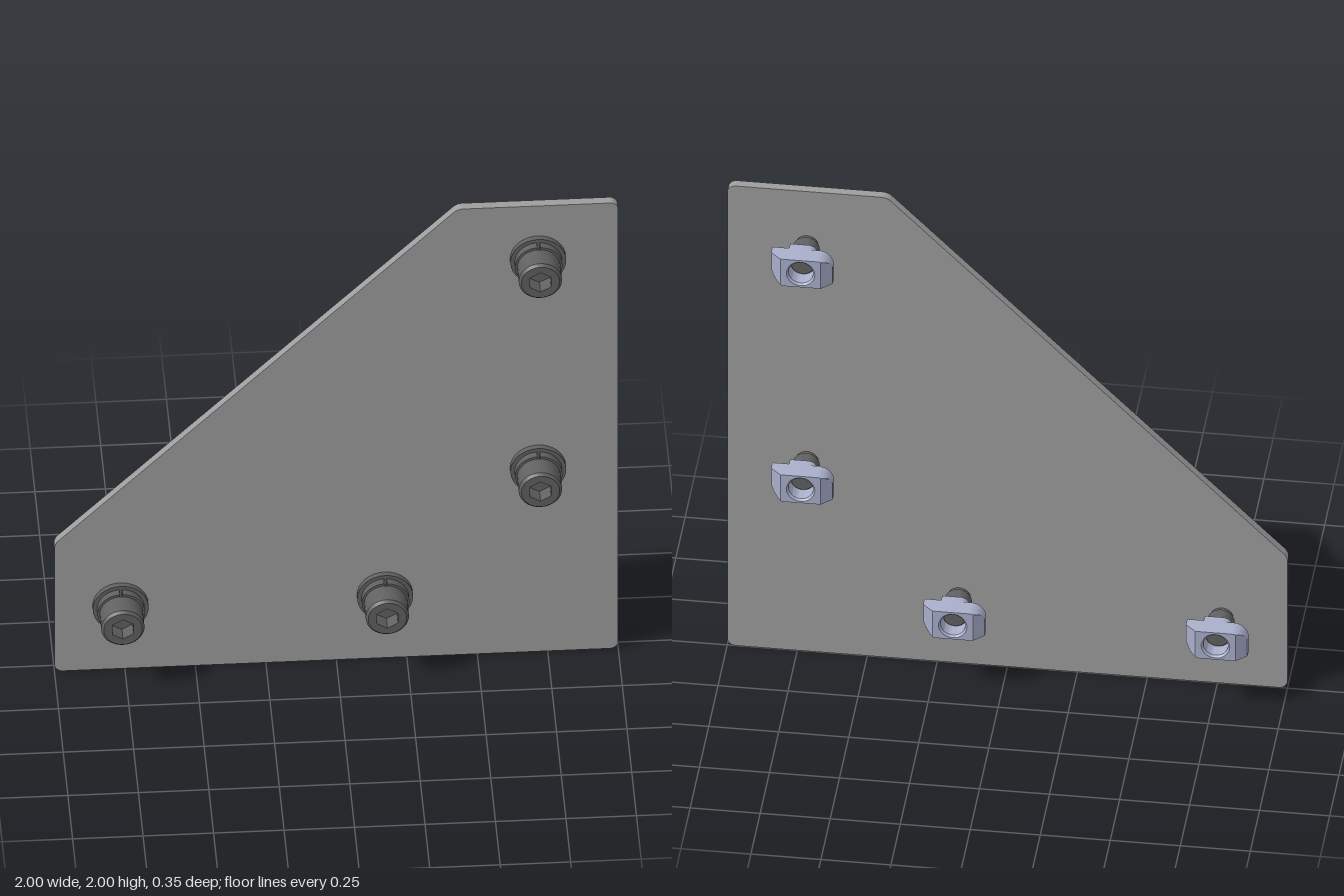
import * as THREE from 'three';
import { toCreasedNormals } from 'three/addons/utils/BufferGeometryUtils.js';

const plateGrey = new THREE.MeshStandardMaterial({ name: 'plateGrey', color: 0x9d9d9d });
const boltGrey = new THREE.MeshStandardMaterial({ name: 'boltGrey', color: 0x606060 });
const nutBlue = new THREE.MeshStandardMaterial({ name: 'nutBlue', color: 0xaab0cc });

const CREASE = 0.5;

function mesh(name, geometry, material) {
  const m = new THREE.Mesh(toCreasedNormals(geometry, CREASE), material);
  m.name = name;
  return m;
}

// extrude a shape between two z positions
function slab(shape, z0, z1, steps = 1) {
  const g = new THREE.ExtrudeGeometry(shape, { depth: z1 - z0, steps, bevelEnabled: false, curveSegments: 32 });
  return g.translate(0, 0, z0);
}

// profile of [radius, z] points turned about the z axis
function turned(points) {
  const g = new THREE.LatheGeometry(points.map(([r, z]) => new THREE.Vector2(r, z)), 32);
  return g.rotateX(Math.PI / 2);
}

function circlePath(r) {
  return new THREE.Path().absarc(0, 0, r, 0, Math.PI * 2, true);
}

function createPlate() {
  const r = 0.03;
  const s = new THREE.Shape();
  s.moveTo(-1 + r, 0);
  s.lineTo(1 - r, 0);
  s.absarc(1 - r, r, r, -Math.PI / 2, 0);
  s.lineTo(1, 2 - r);
  s.absarc(1 - r, 2 - r, r, 0, Math.PI / 2);
  s.lineTo(0.45, 2);
  s.quadraticCurveTo(0.43, 2, 0.415, 1.985);
  s.lineTo(-0.985, 0.585);
  s.quadraticCurveTo(-1, 0.57, -1, 0.55);
  s.lineTo(-1, r);
  s.absarc(-1 + r, r, r, Math.PI, Math.PI * 1.5);
  return mesh('plate', slab(s, 0, 0.034), plateGrey);
}

function createBolt() {
  const bolt = new THREE.Group();
  bolt.name = 'bolt';

  // chamfered head with a hexagonal socket
  bolt.add(mesh('headSide', turned([[0.07, 0.083], [0.077, 0.086], [0.077, 0.166], [0.068, 0.176]]), boltGrey));
  const face = new THREE.Shape().absarc(0, 0, 0.068, 0, Math.PI * 2);
  const hex = new THREE.Path();
  for (let i = 0; i < 6; i++) {
    const a = Math.PI / 2 - i * Math.PI / 3;
    const x = 0.043 * Math.cos(a), y = 0.043 * Math.sin(a);
    if (i) hex.lineTo(x, y); else hex.moveTo(x, y);
  }
  hex.closePath();
  face.holes.push(hex);
  bolt.add(mesh('headSocket', slab(face, 0.116, 0.176), boltGrey));
  bolt.add(mesh('socketFloor', new THREE.CircleGeometry(0.06, 24).translate(0, 0, 0.12), boltGrey));

  // split spring washer, open at the top
  const gap = 0.06, up = Math.PI / 2;
  const ring = new THREE.Shape();
  ring.absarc(0, 0, 0.084, up + gap, up + Math.PI * 2 - gap);
  ring.absarc(0, 0, 0.05, up + Math.PI * 2 - gap, up + gap, true);
  bolt.add(mesh('springWasher', slab(ring, 0.055, 0.083), boltGrey));

  // flat washer
  bolt.add(mesh('flatWasher', turned([[0, 0.034], [0.099, 0.034], [0.099, 0.055], [0, 0.055]]), boltGrey));

  // shank, necked beside the plate, ending inside the nut
  bolt.add(mesh('shank', turned([
    [0, -0.12], [0.04, -0.12], [0.044, -0.115], [0.044, -0.082], [0.048, -0.082],
    [0.048, -0.02], [0.041, -0.015], [0.041, 0.07],
  ]), boltGrey));
  return bolt;
}

// rectangle with two opposite corners rounded and a round hole
function nutOutline(w, h, r) {
  const s = new THREE.Shape();
  s.moveTo(-w, -h);
  s.lineTo(w - r, -h);
  s.absarc(w - r, -h + r, r, -Math.PI / 2, 0);
  s.lineTo(w, h);
  s.lineTo(-w + r, h);
  s.absarc(-w + r, h - r, r, Math.PI / 2, Math.PI);
  s.closePath();
  s.holes.push(circlePath(0.044));
  return s;
}

function createNut() {
  const nut = new THREE.Group();
  nut.name = 'slotNut';

  // body: ends cut to a slope towards the back, hole countersunk
  const back = -0.177;
  const g = slab(nutOutline(0.11, 0.058, 0.055), back, -0.107, 10);
  const p = g.attributes.position;
  for (let i = 0; i < p.count; i++) {
    const x = p.getX(i), y = p.getY(i), d = p.getZ(i) - back;
    const limit = 0.072 + d * 1.05;
    if (Math.hypot(x, y) < 0.046) {
      const k = d < 0.001 ? 1.16 : 1;
      p.setXY(i, x * k, y * k);
    } else {
      p.setX(i, THREE.MathUtils.clamp(x, -limit, limit));
    }
  }
  nut.add(mesh('nutBody', g, nutBlue));

  // collar that sits in the slot
  nut.add(mesh('nutCollar', slab(nutOutline(0.05, 0.058, 0.035), -0.107, -0.08), nutBlue));
  return nut;
}

export function createModel() {
  const model = new THREE.Group();
  model.name = 'cornerPlate';
  model.add(createPlate());

  const places = [[-0.766, 0.286], [0.172, 0.286], [0.715, 0.828], [0.715, 1.767]];
  for (const [x, y] of places) {
    const fastener = new THREE.Group();
    fastener.name = 'fastener';
    fastener.add(createBolt(), createNut());
    fastener.position.set(x, y, 0);
    model.add(fastener);
  }
  return model;
}
